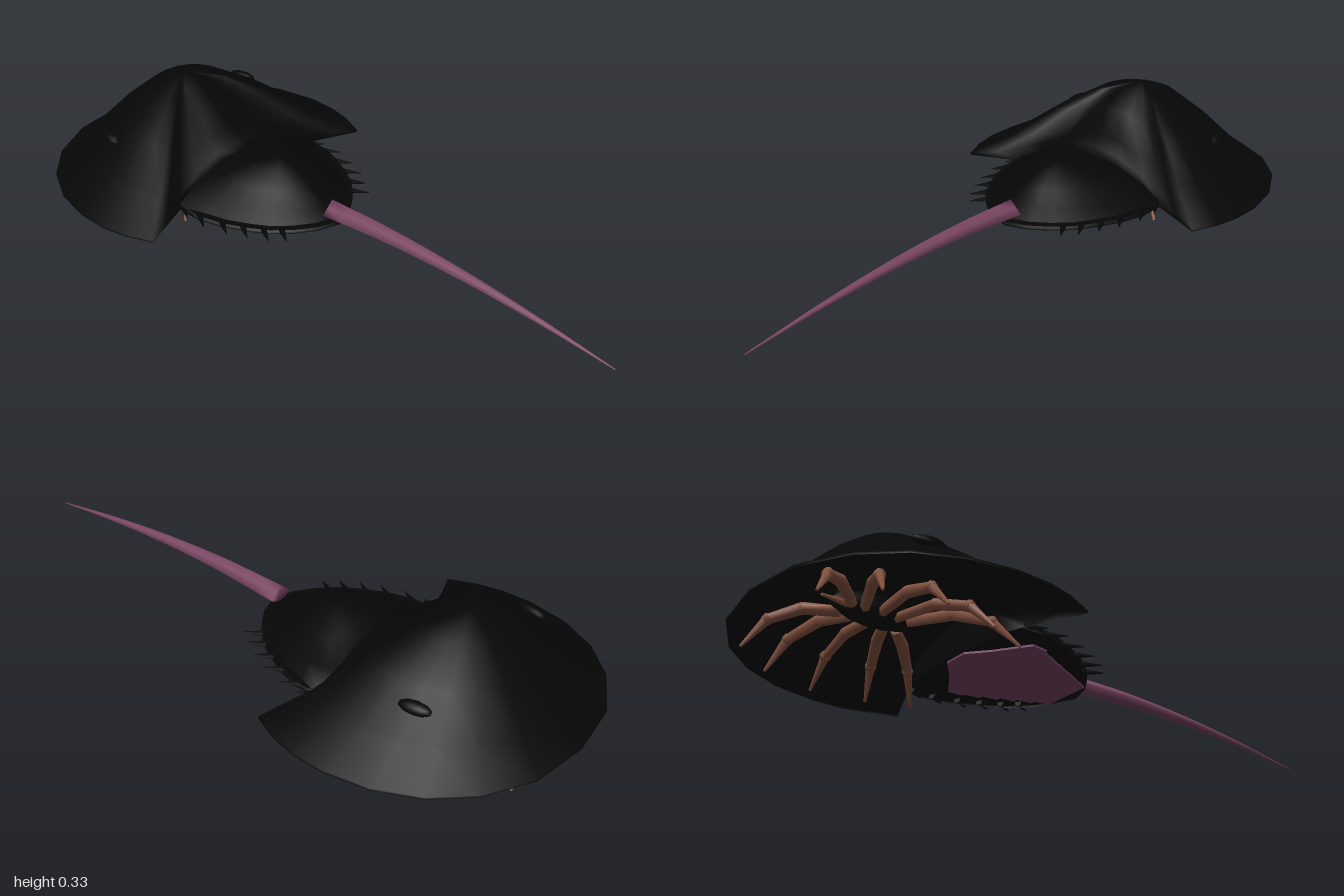
import * as THREE from 'three';

const mat = (name, color, side = THREE.FrontSide) => {
  const m = new THREE.MeshStandardMaterial({ color, side });
  m.name = name;
  return m;
};
const V = (x, y, z) => new THREE.Vector3(x, y, z);
const mirrored = (half) =>
  [...half, ...half.slice(1, -1).reverse().map(([x, ...rest]) => [-x, ...rest])];

// Height falloff from apex (t = 0) to rim (t = 1); arched edges level off sooner
const PROFILE = [[0.25, 0.88, 0.88], [0.5, 0.6, 0.53], [0.75, 0.25, 0.08], [1, 0, 0]];

// Open dome: rings shrink from a mirrored rim outline towards an apex.
// Each rim point is x, y, z and the height its lip reaches down to.
function dome(half, apex) {
  const rim = mirrored(half);
  const n = rim.length, pos = [...apex], idx = [];
  for (const [t, low, arched] of PROFILE) {
    for (const [x, y, z] of rim) {
      const f = THREE.MathUtils.lerp(low, arched, THREE.MathUtils.smoothstep(y, 0.08, 0.15));
      pos.push(x * t, y + (apex[1] - y) * f, apex[2] + (z - apex[2]) * t);
    }
  }
  for (const [x, , z, bottom = 0.053] of rim) pos.push(x, bottom, z);
  const at = (r, j) => 1 + r * n + (j % n);
  for (let j = 0; j < n; j++) {
    idx.push(0, at(0, j + 1), at(0, j));
    for (let r = 0; r < PROFILE.length; r++) {
      idx.push(at(r, j), at(r, j + 1), at(r + 1, j));
      idx.push(at(r, j + 1), at(r + 1, j + 1), at(r + 1, j));
    }
  }
  const g = new THREE.BufferGeometry();
  g.setAttribute('position', new THREE.Float32BufferAttribute(pos, 3));
  g.setIndex(idx);
  g.computeVertexNormals();
  return g;
}

// Horizontal plate from an x, z outline, hanging down from y = 0
function plate(outline, depth) {
  const s = new THREE.Shape(outline.map(([x, z]) => new THREE.Vector2(x, z)));
  return new THREE.ExtrudeGeometry(s, { depth, bevelEnabled: false }).rotateX(Math.PI / 2);
}

// Tapered rod from a to b
function rod(a, b, ra, rb, sides = 6) {
  const d = b.clone().sub(a);
  const g = new THREE.CylinderGeometry(rb, ra, d.length(), sides);
  g.applyQuaternion(new THREE.Quaternion().setFromUnitVectors(V(0, 1, 0), d.normalize()));
  const c = a.clone().add(b).multiplyScalar(0.5);
  return g.translate(c.x, c.y, c.z);
}

// Tail: ridged kite section swept along a bowed, tapering path
function tailGeometry() {
  const path = new THREE.CatmullRomCurve3(
    [V(0, 0.099, 0.015), V(0, 0.109, 0.25), V(0, 0.104, 0.5), V(0, 0.085, 0.75), V(0, 0.055, 1)]);
  const section = [[0, 0.029], [0.02, 0.01], [0.04, -0.01], [0.015, -0.021],
    [-0.015, -0.021], [-0.04, -0.01], [-0.02, 0.01]];
  const n = section.length, steps = 14, pos = [], idx = [];
  for (let i = 0; i <= steps; i++) {
    const p = path.getPoint(i / steps), s = 1 - 0.95 * i / steps;
    for (const [x, y] of section) pos.push(x * s, p.y + y * s, p.z);
  }
  for (let i = 0; i < steps; i++) {
    for (let j = 0; j < n; j++) {
      const a = i * n + j, b = i * n + (j + 1) % n;
      idx.push(a, a + n, b, b, a + n, b + n);
    }
  }
  for (let j = 1; j < n - 1; j++) idx.push(0, j, j + 1);
  const g = new THREE.BufferGeometry();
  g.setAttribute('position', new THREE.Float32BufferAttribute(pos, 3));
  g.setIndex(idx);
  g.computeVertexNormals();
  return g;
}

export function createModel() {
  const model = new THREE.Group();
  model.name = 'horseshoeCrab';
  const shell = mat('shell black', 0x060606, THREE.DoubleSide);
  const plum = mat('tail plum', 0x7b4664, THREE.DoubleSide);
  const brown = mat('leg brown', 0x865341);
  const add = (name, geo, material, parent = model) => {
    const m = new THREE.Mesh(geo, material);
    m.name = name;
    parent.add(m);
    return m;
  };

  // Head shield; its arched rear edge drops down onto the abdomen
  add('headShield', dome([
    [0, 0.06, -1], [0.18, 0.06, -0.975], [0.32, 0.06, -0.9], [0.415, 0.06, -0.8],
    [0.475, 0.06, -0.68], [0.5, 0.06, -0.55], [0.498, 0.06, -0.45], [0.48, 0.06, -0.37],
    [0.445, 0.06, -0.287], [0.36, 0.075, -0.325], [0.28, 0.1, -0.36], [0.2, 0.135, -0.37, 0.1],
    [0.1, 0.173, -0.37, 0.135], [0, 0.187, -0.36, 0.145]], [0, 0.33, -0.64]), shell);

  // Abdomen, tucked under the head shield, with a flat underside
  const abdomen = [
    [0, 0.155, -0.4], [0.1, 0.145, -0.395], [0.2, 0.11, -0.39], [0.275, 0.075, -0.365],
    [0.275, 0.06, -0.28], [0.252, 0.06, -0.2], [0.215, 0.06, -0.125], [0.18, 0.06, -0.07],
    [0.13, 0.06, -0.02], [0.07, 0.06, 0.022], [0, 0.06, 0.045]];
  add('abdomen', dome(abdomen, [0, 0.185, -0.2]), shell);
  add('abdomenUnderside', plate(mirrored(abdomen).map(([x, , z]) => [x * 0.99, z]), 0.004)
    .translate(0, 0.07, 0), shell);

  add('tailSpine', tailGeometry(), plum);

  // Overlapping gill plates beneath the abdomen, the first one pointed
  const gills = new THREE.Group();
  gills.name = 'gills';
  model.add(gills);
  add('gillCover', plate([[-0.2, -0.27], [-0.1, -0.335], [-0.04, -0.385], [0.04, -0.385],
    [0.1, -0.335], [0.2, -0.27], [0.195, -0.22], [-0.195, -0.22]], 0.006)
    .translate(0, 0.062, 0), plum, gills);
  for (let i = 0; i < 5; i++) {
    const w = 0.19 - 0.022 * i;
    const g = plate([[-w, 0], [w, 0], [w - 0.02, 0.052], [-w + 0.02, 0.052]], 0.005);
    add('gillPlate', g.rotateX(0.12).translate(0, 0.063, -0.23 + i * 0.047), plum, gills);
  }

  // Dark body around the mouth
  add('mouthBody', new THREE.SphereGeometry(1, 10, 8).scale(0.055, 0.04, 0.13)
    .translate(0, 0.115, -0.65), shell);

  const feet = [[0.2, -0.92], [0.3, -0.8], [0.34, -0.64], [0.31, -0.48], [0.26, -0.36]];
  const spines = [[0.275, -0.345], [0.272, -0.275], [0.25, -0.2], [0.222, -0.14],
    [0.19, -0.085], [0.155, -0.045]];
  for (const side of [1, -1]) {
    const label = side > 0 ? 'left' : 'right';

    // Jointed walking legs fanning out from the mouth
    const legs = new THREE.Group();
    legs.name = label + 'Legs';
    model.add(legs);
    for (const [x, z] of feet) {
      const root = V(side * 0.03, 0.1, -0.65 + (z + 0.65) * 0.3);
      const foot = V(side * x, 0.004, z);
      const on = (t, y) => root.clone().lerp(foot, t).setY(y);
      const pts = [root, on(0.4, 0.112), on(0.75, 0.082), foot];
      const radii = [0.015, 0.017, 0.014, 0.004];
      for (let i = 0; i < 3; i++) {
        add('legSegment', rod(pts[i], pts[i + 1], radii[i], radii[i + 1]), brown, legs);
      }
      for (const i of [1, 2]) {
        add('legJoint', new THREE.SphereGeometry(0.017, 6, 5)
          .translate(pts[i].x, pts[i].y, pts[i].z), brown, legs);
      }
    }
    add('feeler', rod(V(side * 0.02, 0.1, -0.74), V(side * 0.05, 0.085, -0.83), 0.01, 0.004),
      brown, legs);

    // Backward-pointing spines along the abdomen edge
    for (const [x, z] of spines) {
      add(label + 'Spine', rod(V(side * (x - 0.008), 0.062, z - 0.01),
        V(side * (x + 0.026), 0.062, z + 0.047), 0.011, 0.001, 5), shell);
    }

    // Raised oval eye on the shield's slope
    const eye = add(label + 'Eye', new THREE.SphereGeometry(1, 10, 8).scale(0.02, 0.016, 0.048), shell);
    eye.position.set(side * 0.284, 0.19, -0.67);
    eye.rotation.set(0, side * 0.15, side * -0.5);
  }
  return model;
}
